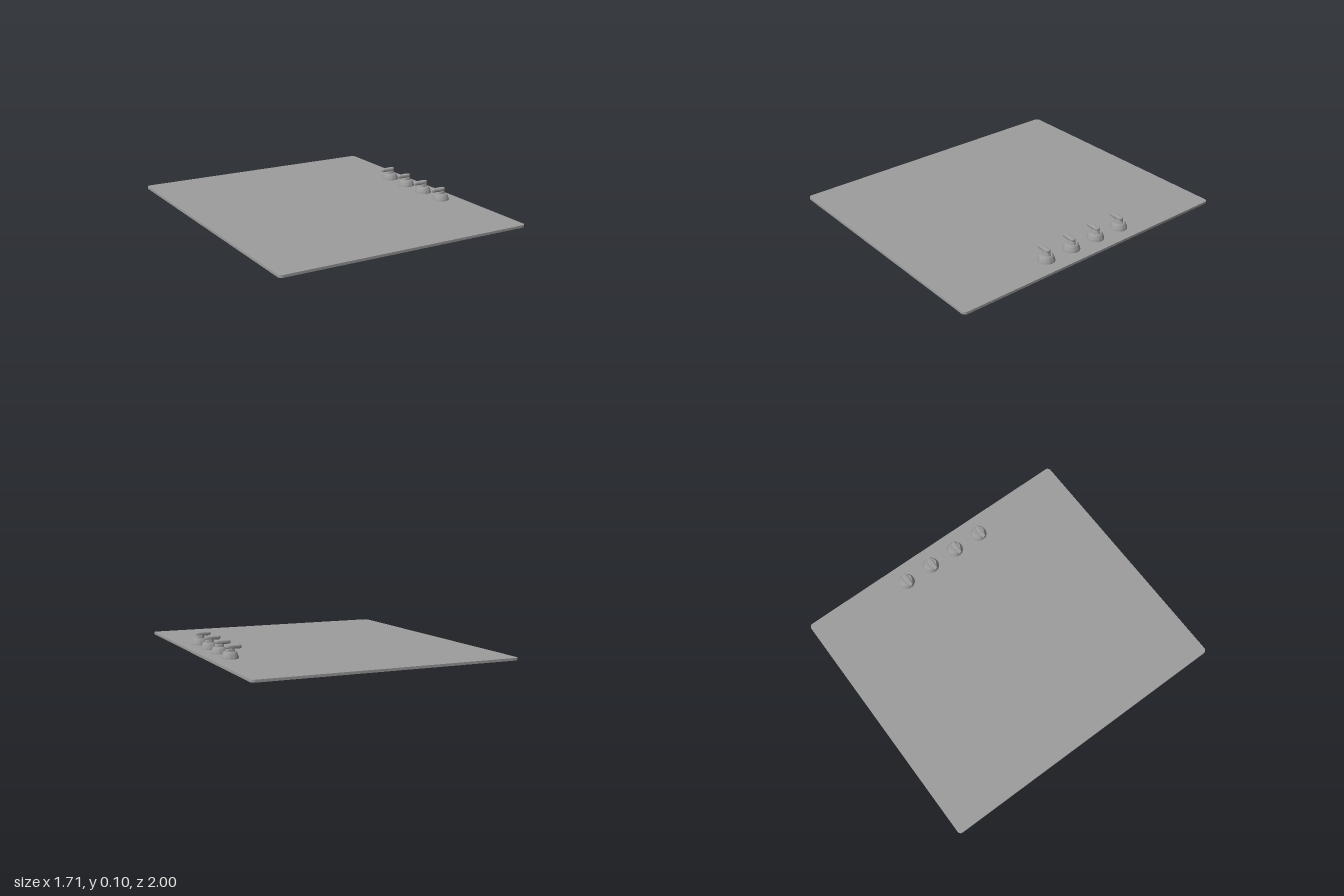
import * as THREE from 'three';
import { toCreasedNormals } from 'three/addons/utils/BufferGeometryUtils.js';

const material = new THREE.MeshStandardMaterial({ color: 0x9d9d9d });
const TOP = 0.016, KNOB_X = 0.73, KNOB_R = 0.054;
const KNOB_Z = [-0.3, -0.1, 0.1, 0.3];

function part(name, geometry) {
  const mesh = new THREE.Mesh(toCreasedNormals(geometry, 0.55), material);
  mesh.name = name;
  return mesh;
}

// Thin rounded panel with a round seat for each knob
function makePanel() {
  const w = 0.855, d = 1, r = 0.025;
  const s = new THREE.Shape();
  s.absarc(w - r, d - r, r, 0, Math.PI / 2);
  s.absarc(-w + r, d - r, r, Math.PI / 2, Math.PI);
  s.absarc(-w + r, -d + r, r, Math.PI, Math.PI * 1.5);
  s.absarc(w - r, -d + r, r, Math.PI * 1.5, Math.PI * 2);
  for (const z of KNOB_Z) {
    s.holes.push(new THREE.Path().absarc(KNOB_X, -z, KNOB_R, 0, Math.PI * 2, true));
  }
  const g = new THREE.ExtrudeGeometry(s, { depth: TOP, bevelEnabled: false, curveSegments: 20 });
  return part('panel', g.rotateX(-Math.PI / 2));
}

function lathe(points) {
  return new THREE.LatheGeometry(points.map(([x, y]) => new THREE.Vector2(x, y)), 40);
}

// Sloping base, tapered oval neck and a pointing lever
function makeKnob() {
  const knob = new THREE.Group();
  knob.name = 'knob';
  knob.add(part('knobBase', lathe([
    [0, 0.003], [KNOB_R, 0.003], [KNOB_R, 0.02], [0.051, 0.03],
    [0.046, 0.042], [0.042, 0.052], [0.037, 0.057], [0, 0.057],
  ])));

  const neck = lathe([[0.031, 0.056], [0.029, 0.066], [0.026, 0.074], [0.022, 0.082]]);
  knob.add(part('knobNeck', neck.scale(1, 1, 0.7)));

  // Teardrop plan, wide over the neck and narrow at the tip
  const plan = new THREE.Shape();
  plan.moveTo(0.022, 0);
  plan.bezierCurveTo(0.022, 0.008, 0.012, 0.011, 0, 0.011);
  plan.bezierCurveTo(-0.025, 0.011, -0.04, 0.007, -0.058, 0.007);
  plan.bezierCurveTo(-0.07, 0.006, -0.07, -0.006, -0.058, -0.007);
  plan.bezierCurveTo(-0.04, -0.007, -0.025, -0.011, 0, -0.011);
  plan.bezierCurveTo(0.012, -0.011, 0.022, -0.008, 0.022, 0);
  const lever = new THREE.ExtrudeGeometry(plan, {
    depth: 0.006, bevelThickness: 0.009, bevelSize: 0.006, bevelSegments: 5, curveSegments: 10,
  });
  lever.rotateX(-Math.PI / 2).translate(0, 0.082, 0);
  knob.add(part('knobLever', lever));
  return knob;
}

export function createModel() {
  const model = new THREE.Group();
  model.name = 'cooktop';
  model.add(makePanel());
  for (const z of KNOB_Z) {
    const knob = makeKnob();
    knob.position.set(KNOB_X, 0, z);
    model.add(knob);
  }
  return model;
}
